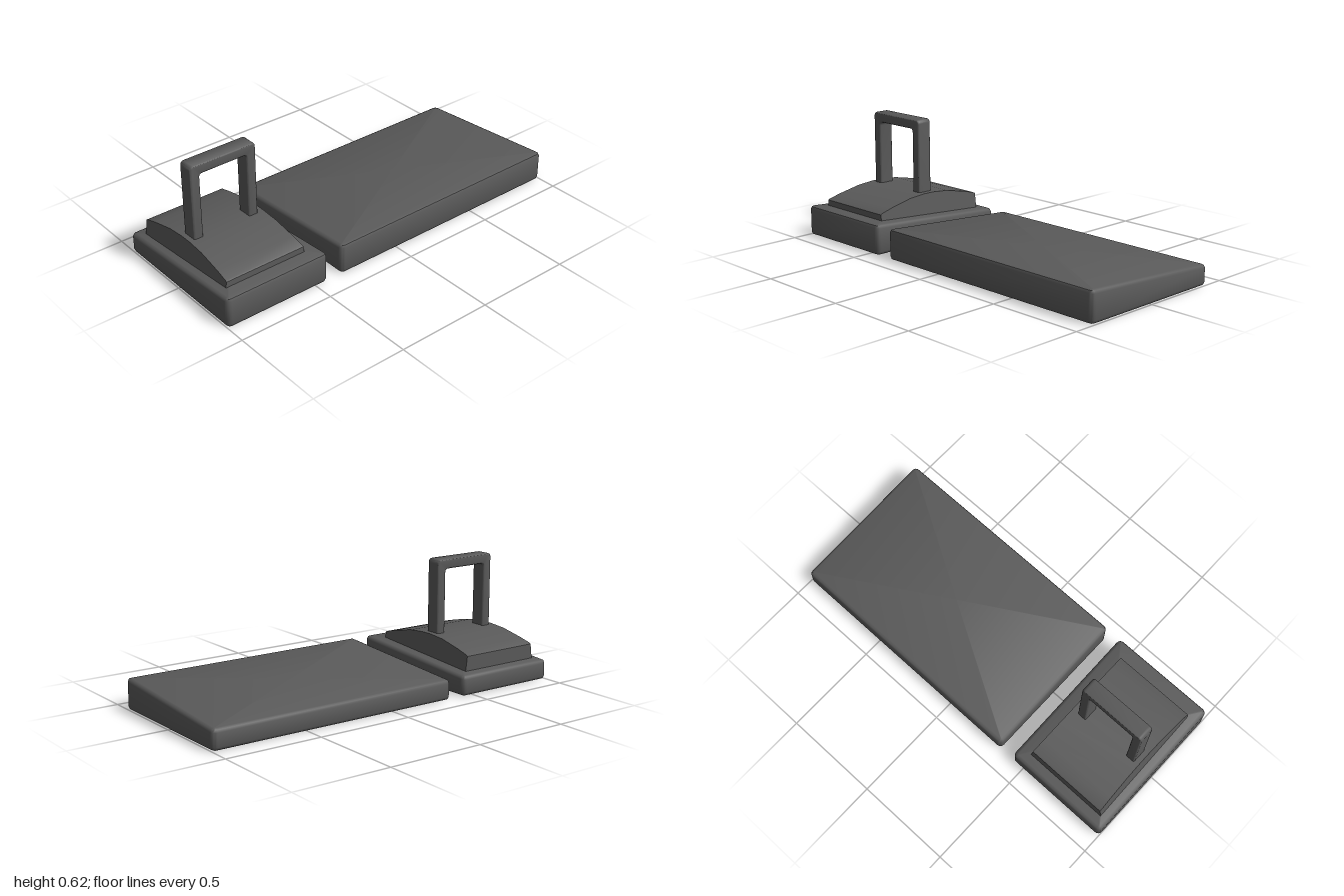
import * as THREE from 'three';
import { toCreasedNormals } from 'three/addons/utils/BufferGeometryUtils.js';

const material = new THREE.MeshStandardMaterial({ color: 0x5a5a5a, side: THREE.DoubleSide });

// Height of the sloping top surface
const topY = (x) => 0.131 + 0.07 * x;

// Rounded rectangle outline in x/z, half sizes w and d, corner radius r
function outline(w, d, r, steps = 4) {
  const pts = [];
  [[1, 1], [-1, 1], [-1, -1], [1, -1]].forEach(([sx, sz], q) => {
    for (let i = 0; i <= steps; i++) {
      const a = (q + i / steps) * Math.PI / 2;
      pts.push([sx * (w - r) + r * Math.cos(a), sz * (d - r) + r * Math.sin(a)]);
    }
  });
  return pts;
}

// Hollow sloping shell with softened edges, open underneath
function wedgeShell(name, z0, z1) {
  const w = 0.4, d = (z1 - z0) / 2, b = 0.018;
  // [inset, height offset, measured from the top?]
  const rings = [
    [b, 0, false], [b * 0.3, b * 0.3, false], [0, b, false],
    [0, -b, true], [b * 0.3, -b * 0.3, true], [b, 0, true],
  ];
  const pos = [], idx = [];
  let n = 0;
  for (const [inset, off, top] of rings) {
    const pts = outline(w - inset, d - inset, 0.024 - inset);
    n = pts.length;
    for (const [x, z] of pts) pos.push(x, (top ? topY(x) : 0) + off, z);
  }
  for (let k = 0; k < rings.length - 1; k++) {
    for (let i = 0; i < n; i++) {
      const a = k * n + i, c = k * n + (i + 1) % n;
      idx.push(a, a + n, c, c, a + n, c + n);
    }
  }
  // Top face
  const last = (rings.length - 1) * n, centre = pos.length / 3;
  pos.push(0, topY(0), 0);
  for (let i = 0; i < n; i++) idx.push(last + i, centre, last + (i + 1) % n);

  const geo = new THREE.BufferGeometry();
  geo.setAttribute('position', new THREE.Float32BufferAttribute(pos, 3));
  geo.setIndex(idx);
  const mesh = new THREE.Mesh(toCreasedNormals(geo, 0.8), material);
  mesh.name = name;
  mesh.position.z = (z0 + z1) / 2;
  return mesh;
}

// Arched block whose front and back lean inwards towards the top
function archedBlock() {
  const profile = [
    [-0.34, 0.105], [0.315, 0.105], [0.315, 0.183], [0.308, 0.188], [0.24, 0.206], [0.115, 0.232],
    [0.02, 0.24], [-0.045, 0.24], [-0.14, 0.232], [-0.265, 0.206], [-0.333, 0.188], [-0.34, 0.183],
  ];
  const shape = new THREE.Shape(profile.map(([x, y]) => new THREE.Vector2(x, y)));
  const geo = new THREE.ExtrudeGeometry(shape, { depth: 2, bevelEnabled: false });
  geo.translate(0, 0, -1);
  const p = geo.attributes.position;
  for (let i = 0; i < p.count; i++) {
    p.setZ(i, p.getZ(i) * (0.221 - 0.13 * (p.getY(i) - 0.155)));
  }
  const mesh = new THREE.Mesh(toCreasedNormals(geo, 0.4), material);
  mesh.name = 'archedBlock';
  mesh.position.z = 0.725;
  return mesh;
}

// Upright loop handle with rounded upper corners
function handle() {
  const b = 0.008, w = 0.18 - b, top = 0.624 - b, base = 0.2;
  const iw = 0.13 + b, itop = 0.572 + b, r = 0.014, ir = 0.025;
  const s = new THREE.Shape();
  s.moveTo(-w, base);
  s.lineTo(-iw, base);
  s.lineTo(-iw, itop - ir);
  s.quadraticCurveTo(-iw, itop, -iw + ir, itop);
  s.lineTo(iw - ir, itop);
  s.quadraticCurveTo(iw, itop, iw, itop - ir);
  s.lineTo(iw, base);
  s.lineTo(w, base);
  s.lineTo(w, top - r);
  s.quadraticCurveTo(w, top, w - r, top);
  s.lineTo(-w + r, top);
  s.quadraticCurveTo(-w, top, -w, top - r);
  s.closePath();
  const depth = 0.082 - 2 * b;
  const geo = new THREE.ExtrudeGeometry(s, {
    depth, bevelEnabled: true, bevelSize: b, bevelThickness: b, bevelSegments: 3, curveSegments: 4,
  });
  geo.translate(0, 0, -depth / 2);
  geo.rotateY(Math.PI / 2);
  const mesh = new THREE.Mesh(toCreasedNormals(geo, 0.8), material);
  mesh.name = 'handle';
  mesh.position.set(-0.02, 0, 0.728);
  return mesh;
}

export function createModel() {
  const model = new THREE.Group();
  model.name = 'wedgeSlabsWithHandle';
  model.add(
    wedgeShell('longSlab', -1, 0.35),
    wedgeShell('shortSlab', 0.432, 1),
    archedBlock(),
    handle(),
  );
  return model;
}
